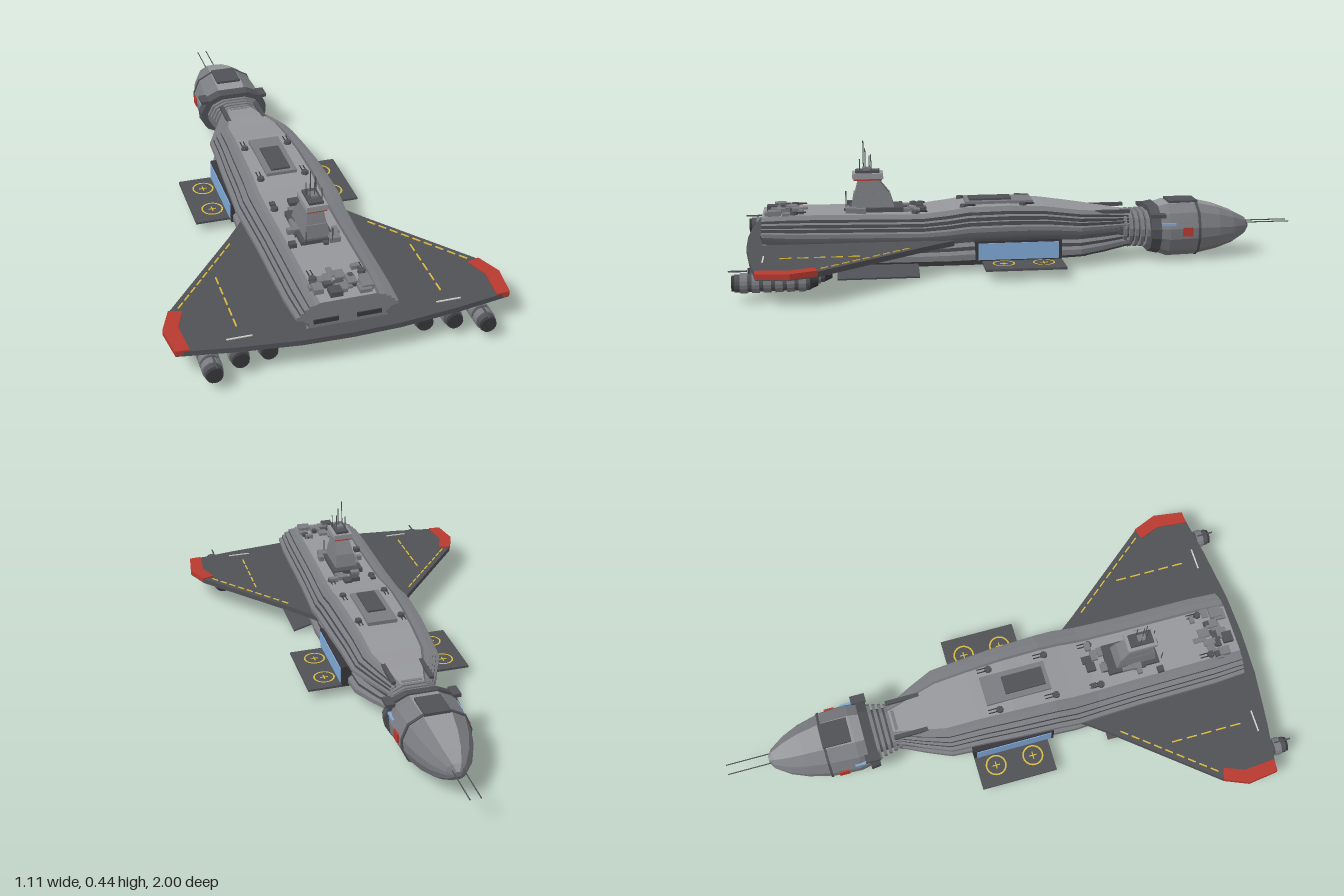
import * as THREE from 'three';

const mat = (name, color, side = THREE.FrontSide) => {
  const m = new THREE.MeshStandardMaterial({ color, side, flatShading: true });
  m.name = name;
  return m;
};

export function createModel() {
  const light = mat('light deck grey', 0x96979b), grey = mat('hull grey', 0x7b7c81);
  const dark = mat('dark grey', 0x505156), black = mat('charcoal', 0x38383c);
  const red = mat('red', 0xb83a30), blue = mat('hangar blue', 0x7fa9d8);
  const yellow = mat('marking yellow', 0xd6b83e), pale = mat('marking white', 0xcfcfc8);

  const model = new THREE.Group();
  model.name = 'spaceship';
  const add = (name, geo, m, x = 0, y = 0, z = 0, parent = model) => {
    const mesh = new THREE.Mesh(geo, m);
    mesh.name = name;
    mesh.position.set(x, y, z);
    parent.add(mesh);
    return mesh;
  };
  // box given by its limits
  const box = (name, m, x0, x1, y0, y1, z0, z1, parent) => add(name,
    new THREE.BoxGeometry(Math.abs(x1 - x0), y1 - y0, z1 - z0), m, (x0 + x1) / 2, (y0 + y1) / 2, (z0 + z1) / 2, parent);
  const rod = (name, m, r, len, axis, x, y, z, r2 = r, sides = 6) => {
    const g = new THREE.CylinderGeometry(r2, r, len, sides);
    if (axis === 'z') g.rotateX(Math.PI / 2);
    return add(name, g, m, x, y, z);
  };
  // flat plan outline (x, z) made into a slab whose top is at y
  const slab = (name, m, pts, y, h) => {
    const g = new THREE.ExtrudeGeometry(new THREE.Shape(pts.map(p => new THREE.Vector2(...p))), { depth: h, bevelEnabled: false });
    g.rotateX(Math.PI / 2);
    return add(name, g, m, 0, y, 0);
  };
  // mirrored half-section swept through stations [z, halfWidth, bottom, top], one group per strip
  const loft = (name, half, stations, mats, pick) => {
    const n = half.length;
    const ring = [...half, ...half.map(([a, b]) => [-a, b]).reverse()];
    const rings = stations.map(([z, w, b, t]) => ring.map(([px, py]) => [px * w, b + py * (t - b), z]));
    const pos = [], g = new THREE.BufferGeometry();
    const quad = (a, b, c, d) => pos.push(...a, ...b, ...d, ...b, ...c, ...d);
    for (let j = 0; j < 2 * n; j++) {
      const k = (j + 1) % (2 * n), start = pos.length / 3;
      for (let i = 0; i + 1 < rings.length; i++) quad(rings[i][j], rings[i][k], rings[i + 1][k], rings[i + 1][j]);
      g.addGroup(start, pos.length / 3 - start, pick(j < n ? j : 2 * n - 2 - j, n));
    }
    const start = pos.length / 3, A = rings[0], B = rings[rings.length - 1];
    for (let j = 0; j < n - 1; j++) {
      const p = 2 * n - 1 - j;
      quad(B[j], B[j + 1], B[p - 1], B[p]);
      quad(A[p], A[p - 1], A[j + 1], A[j]);
    }
    g.addGroup(start, pos.length / 3 - start, 0);
    g.setAttribute('position', new THREE.Float32BufferAttribute(pos, 3));
    g.computeVertexNormals();
    return add(name, g, mats);
  };

  // Main hull with terraced armour
  const hullHalf = [[0.8, 0], [0.94, 0.08], [0.94, 0.19], [0.86, 0.25], [0.86, 0.32], [0.76, 0.38], [0.76, 0.47], [0.83, 0.53],
    [0.86, 0.58], [1, 0.61], [1, 0.69], [0.92, 0.71], [0.92, 0.78], [0.85, 0.79], [0.85, 0.86], [0.75, 0.88], [0.75, 0.94], [0.62, 0.95], [0.55, 1]];
  const darkStrips = new Set([3, 5, 8, 11, 13, 15]);
  loft('hull', hullHalf, [[-0.39, 0.075, 0.055, 0.172], [-0.36, 0.085, 0.05, 0.175], [-0.29, 0.12, 0.042, 0.185], [-0.2, 0.16, 0.035, 0.196],
    [-0.08, 0.168, 0.032, 0.213], [0.05, 0.178, 0.03, 0.22], [0.2, 0.184, 0.03, 0.218], [0.27, 0.187, 0.03, 0.208],
    [0.36, 0.18, 0.03, 0.198], [0.5, 0.175, 0.03, 0.2], [0.8, 0.172, 0.035, 0.205], [0.91, 0.165, 0.06, 0.2]],
  [grey, light, dark], (j, n) => (j === n - 1 ? 1 : j === 0 || j < 0 || darkStrips.has(j) ? 2 : 0));

  // Ribbed neck
  const headHalf = [[0.42, 0], [0.8, 0.14], [0.98, 0.38], [1, 0.58], [0.82, 0.86], [0.42, 1]];
  for (let i = 0; i < 5; i++) {
    const z = -0.46 + i * 0.02, w = 0.105 - i * 0.005;
    loft('neckRib', headHalf, [[z, w, 0.045, 0.175], [z + 0.012, w, 0.045, 0.175]], [grey], () => 0);
  }
  loft('neckCore', headHalf, [[-0.48, 0.085, 0.055, 0.165], [-0.35, 0.07, 0.06, 0.165]], [dark], () => 0);

  // Bow section
  loft('bow', headHalf, [[-0.847, 0.012, 0.096, 0.114], [-0.832, 0.036, 0.076, 0.136], [-0.78, 0.072, 0.048, 0.162], [-0.72, 0.097, 0.03, 0.184],
    [-0.63, 0.119, 0.013, 0.204], [-0.53, 0.125, 0.011, 0.202], [-0.465, 0.112, 0.035, 0.185]],
  [grey, light], (j, n) => (j === n - 1 ? 1 : 0));
  loft('bowCollar', headHalf, [[-0.495, 0.134, 0.022, 0.198], [-0.46, 0.13, 0.03, 0.192]], [dark], () => 0);
  loft('bowBand', headHalf, [[-0.643, 0.121, 0.012, 0.204], [-0.634, 0.122, 0.011, 0.206]], [dark], () => 0);
  box('bowRoofPlate', dark, -0.046, 0.046, 0.2, 0.211, -0.645, -0.54);
  for (const s of [-1, 1]) {
    box('bowBadge', red, s * 0.117, s * 0.126, 0.095, 0.127, -0.612, -0.575);
    box('bowWindow', blue, s * 0.112, s * 0.122, 0.135, 0.144, -0.55, -0.497);
    box('bowSideRidge', dark, s * 0.1, s * 0.13, 0.165, 0.178, -0.51, -0.455);
    rod('bowAntenna', dark, 0.002, 0.2, 'z', s * 0.018, 0.118, -0.9);
  }

  // Delta wing
  const edge = [[0.15, 0.25], [0.19, 0.31], [0.24, 0.375], [0.52, 0.715], [0.555, 0.8], [0.54, 0.908], [0.36, 0.937], [0.16, 0.96]];
  slab('wing', dark, [...edge, [0, 0.965], ...edge.map(([x, z]) => [-x, z]).reverse()], 0.11, 0.018);
  // dashed marking along a line on the plan
  const dashes = (m, ax, az, bx, bz, n, y = 0.1115) => {
    const len = Math.hypot(bx - ax, bz - az) / n;
    for (let i = 0; i < n; i++) {
      const t = (i + 0.5) / n;
      add('markingDash', new THREE.BoxGeometry(0.005, 0.003, len * 0.68), m, ax + (bx - ax) * t, y, az + (bz - az) * t)
        .rotation.y = Math.atan2(bx - ax, bz - az);
    }
  };

  for (const s of [-1, 1]) {
    slab('wingTip', red, [[0.478, 0.725], [0.521, 0.713], [0.557, 0.8], [0.542, 0.91], [0.497, 0.913], [0.507, 0.8]].map(([x, z]) => [s * x, z]), 0.114, 0.018);
    dashes(yellow, s * 0.335, 0.57, s * 0.335, 0.85, 5);
    dashes(pale, s * 0.28, 0.895, s * 0.4, 0.895, 1);
    dashes(yellow, s * 0.24, 0.405, s * 0.49, 0.71, 9);

    // Engines under the wing
    [[0.253, 0.925], [0.347, 0.94], [0.44, 0.985]].forEach(([x, end], i) => {
      const start = end - 0.25;
      rod('engineBody', dark, 0.029, 0.24, 'z', s * x, 0.06, start + 0.125, 0.029, 16);
      rod('engineIntake', black, 0.029, 0.03, 'z', s * x, 0.06, start - 0.005, 0.016, 16).rotation.y = Math.PI;
      for (let k = 0; k < 6; k++) rod('engineRing', grey, 0.033, 0.024, 'z', s * x, 0.06, start + 0.03 + k * 0.037, 0.033, 16);
      rod('engineNozzle', black, 0.026, 0.012, 'z', s * x, 0.06, end - 0.002, 0.026, 16);
      box('enginePylon', dark, s * x - 0.008, s * x + 0.008, 0.08, 0.095, start - 0.06, Math.min(end, 0.9));
      if (i === 2) rod('engineProbe', dark, 0.003, 0.06, 'z', s * 0.435, 0.098, 0.97);
    });

    // Side hangar and landing platform
    box('hangarFrame', black, s * 0.14, s * 0.178, 0.036, 0.113, -0.125, 0.178);
    box('hangarDoor', blue, s * 0.174, s * 0.181, 0.046, 0.105, -0.115, 0.168);
    box('landingPlatform', dark, s * 0.15, s * 0.3, 0.034, 0.042, -0.125, 0.155);
    for (const z of [-0.055, 0.085]) {
      const ring = new THREE.RingGeometry(0.033, 0.039, 24);
      ring.rotateX(-Math.PI / 2);
      add('padCircle', ring, yellow, s * 0.225, 0.0435, z);
      box('padCross', yellow, s * 0.225 - 0.014, s * 0.225 + 0.014, 0.042, 0.0435, z - 0.002, z + 0.002);
      box('padCross', yellow, s * 0.225 - 0.002, s * 0.225 + 0.002, 0.042, 0.0435, z - 0.014, z + 0.014);
    }

    // Drooping plate under the rear hull
    add('lowerFin', new THREE.BoxGeometry(0.1, 0.006, 0.28), dark, s * 0.185, 0.02, 0.515).rotation.z = -s * 0.27;
    // Shoulder rail
    box('shoulderRail', dark, s * 0.06, s * 0.075, 0.176, 0.188, -0.39, -0.26);

    // Deck turrets
    for (const [z, y] of [[0, 0.214], [0.21, 0.212], [0.38, 0.195], [0.8, 0.202]]) {
      rod('turretBase', dark, 0.015, 0.016, 'y', s * 0.08, y + 0.006, z, 0.012, 8);
      for (const o of [-0.006, 0.006]) rod('turretBarrel', black, 0.002, 0.04, 'z', s * 0.08 + o, y + 0.01, z - 0.022);
    }
    // Masts beside the tower
    rod('deckMast', dark, 0.002, 0.05, 'y', s * 0.045, 0.235, 0.62);
    // Tail ledges
    box('tailVent', black, s * 0.03, s * 0.11, 0.125, 0.14, 0.9, 0.914);
  }

  // Deck hatch
  box('deckHatchFrame', grey, -0.055, 0.055, 0.2, 0.229, -0.04, 0.2);
  box('deckHatch', dark, -0.034, 0.034, 0.22, 0.236, 0.035, 0.185);

  // Small deck machinery
  let seed = 7;
  const rand = () => (seed = (seed * 16807) % 2147483647) / 2147483647;
  for (let i = 0; i < 46; i++) {
    const rear = i % 2, x = (rand() - 0.5) * 0.17, z = rear ? 0.76 + rand() * 0.12 : 0.31 + rand() * 0.32;
    const w = 0.008 + rand() * 0.012, d = 0.008 + rand() * 0.016, h = 0.208 + rand() * 0.012;
    box('deckMachinery', i % 3 ? grey : dark, x - w, x + w, 0.19, h, z - d, z + d);
  }

  // Command tower
  box('towerPlinth', dark, -0.057, 0.057, 0.19, 0.215, 0.42, 0.61);
  const boxHalf = [[1, 0], [1, 1]];
  const taper = (name, m, w0, w1, y0, y1, z0, z1, z2, z3) => {
    const g = new THREE.BoxGeometry(1, 1, 1), p = g.attributes.position;
    for (let i = 0; i < p.count; i++) {
      const up = p.getY(i) > 0, front = p.getZ(i) > 0;
      p.setXYZ(i, Math.sign(p.getX(i)) * (up ? w1 : w0), up ? y1 : y0, up ? (front ? z3 : z2) : (front ? z1 : z0));
    }
    g.computeVertexNormals();
    add(name, g, m);
  };
  taper('towerBase', grey, 0.043, 0.035, 0.21, 0.262, 0.45, 0.6, 0.465, 0.592);
  taper('towerShaft', grey, 0.034, 0.026, 0.262, 0.31, 0.468, 0.588, 0.505, 0.575);
  box('towerBand', red, -0.033, 0.033, 0.309, 0.315, 0.492, 0.592);
  box('towerBridge', light, -0.036, 0.036, 0.315, 0.334, 0.488, 0.596);
  box('towerRoof', dark, -0.024, 0.024, 0.334, 0.343, 0.5, 0.585);
  loft('towerDome', boxHalf, [[0.53, 0.012, 0.34, 0.352], [0.56, 0.012, 0.34, 0.352]], [grey], () => 0);
  for (const [x, z, top] of [[-0.013, 0.556, 0.445], [0.004, 0.55, 0.42], [0.015, 0.53, 0.4], [-0.02, 0.535, 0.39], [0.022, 0.57, 0.385]]) {
    rod('towerAntenna', dark, 0.0018, top - 0.335, 'y', x, (top + 0.335) / 2, z);
  }

  // Belly keel and equipment
  box('keel', black, -0.06, 0.06, 0, 0.034, 0.12, 0.58);
  box('bellyPlate', dark, -0.1, 0.1, 0.018, 0.04, -0.02, 0.655);
  box('bellyPod', dark, -0.04, 0.04, 0.015, 0.045, -0.24, -0.165);
  for (const s of [-1, 1]) box('bellyRail', black, s * 0.11, s * 0.135, 0.022, 0.036, 0.05, 0.4);
  return model;
}
